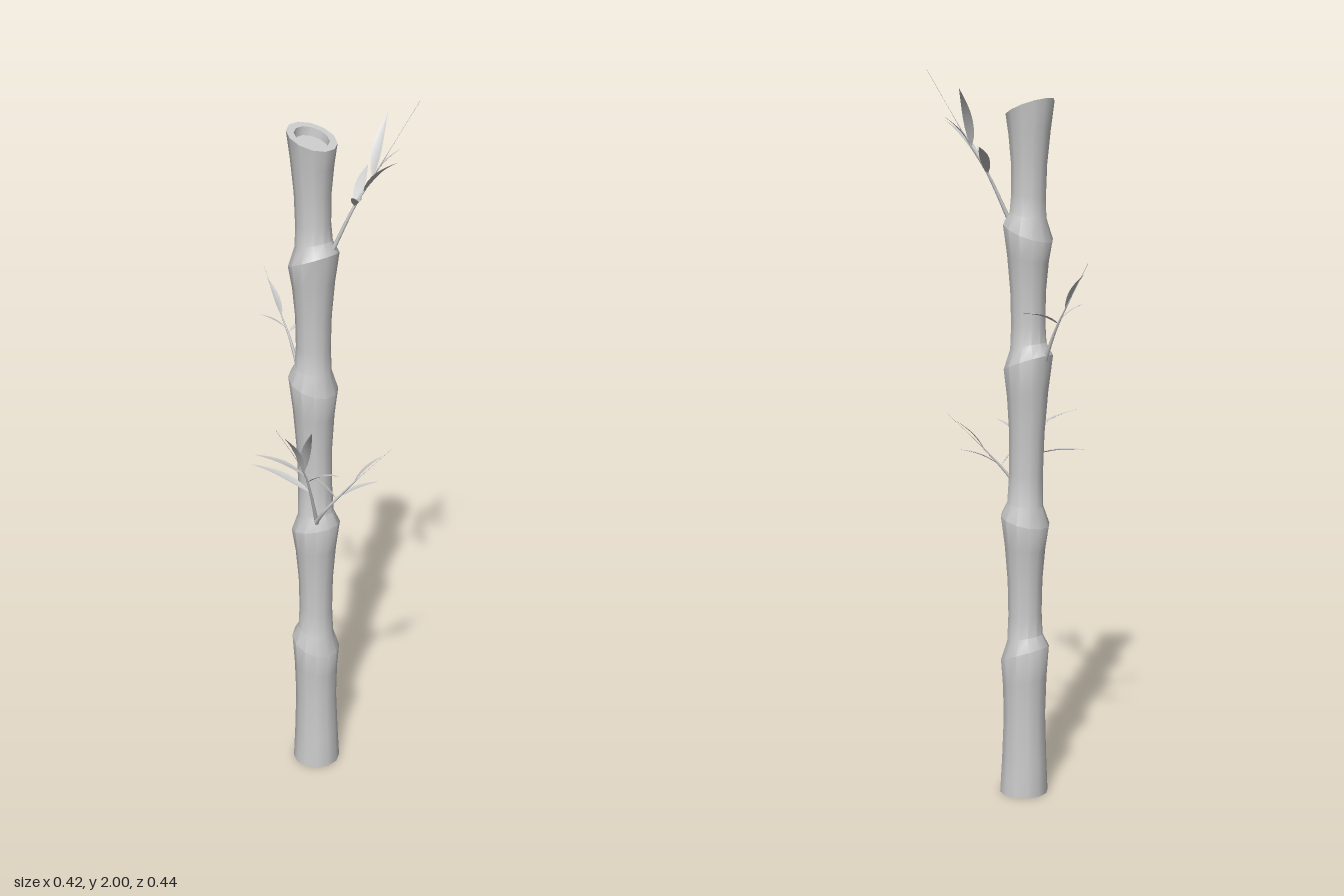
import * as THREE from 'three';
import { toCreasedNormals } from 'three/addons/utils/BufferGeometryUtils.js';

const V = (p) => new THREE.Vector3(...p);
const SIDES = 12;
const STALK_X = 0.029;

const bark = new THREE.MeshStandardMaterial({ color: 0xcccccc });
const foliage = new THREE.MeshStandardMaterial({ color: 0xcccccc, side: THREE.DoubleSide });

// Joins rows of points into a surface
function loft(rows, closed) {
  const n = rows[0].length;
  const index = [];
  for (let i = 0; i < rows.length - 1; i++) {
    for (let j = 0; j < (closed ? n : n - 1); j++) {
      const k = (j + 1) % n;
      const a = i * n + j, b = i * n + k, c = a + n, d = b + n;
      index.push(a, b, d, a, d, c);
    }
  }
  const geometry = new THREE.BufferGeometry();
  geometry.setAttribute('position', new THREE.Float32BufferAttribute(rows.flat(2), 3));
  geometry.setIndex(index);
  geometry.computeVertexNormals();
  return geometry;
}

// Tilted stalk ring: the front drops by tilt times its depth
function ring([y, z, r, tilt]) {
  return Array.from({ length: SIDES }, (_, i) => {
    const a = ((i + 0.5) / SIDES) * Math.PI * 2;
    const dz = r * Math.cos(a);
    return [STALK_X + r * Math.sin(a), y - tilt * dz, z + dz];
  });
}

function stalk() {
  // Node ridges: height, z, tilt
  const nodes = [
    [0, 0.004, 0],
    [0.405, 0, 0.36],
    [0.785, -0.001, -0.25],
    [1.222, -0.012, 0.36],
    [1.575, -0.011, -0.4],
    [1.903, -0.018, 0.36],
  ];
  const ridge = 0.068;
  const rings = [[0, 0.004, 0.0005, 0]];
  for (let i = 0; i < nodes.length - 1; i++) {
    const [y, z, t] = nodes[i];
    const [y1, z1, t1] = nodes[i + 1];
    const at = (f, radius, tilt) => [y + (y1 - y) * f, z + (z1 - z) * f, radius, tilt];
    rings.push([y, z, ridge, t]);
    if (i === 0) {
      rings.push(at(0.25, 0.063, 0), at(0.55, 0.059, 0.05), at(0.8, 0.062, 0.2));
    } else {
      // Shoulder, waist and flare towards the next node
      rings.push([y + 0.045, z, 0.05, t * 0.6]);
      rings.push(at(0.3, 0.047, t * 0.3), at(0.55, 0.049, 0), at(0.8, 0.057, t1 * 0.5));
    }
  }
  // Cut rim with a shallow hollow
  const [y, z, t] = nodes.at(-1);
  rings.push([y, z, 0.066, t], [y, z, 0.046, t], [y - 0.022, z, 0.044, t], [y - 0.022, z, 0.0005, t]);
  const mesh = new THREE.Mesh(toCreasedNormals(loft(rings.map(ring), true), 0.6), bark);
  mesh.name = 'stalk';
  return mesh;
}

// Tapered twig along a curve
function twig(curve) {
  const steps = 16, radial = 6;
  const geometry = new THREE.TubeGeometry(curve, steps, 0.006, radial);
  const pos = geometry.attributes.position;
  const p = new THREE.Vector3();
  for (let i = 0; i < pos.count; i++) {
    const f = Math.floor(i / (radial + 1)) / steps;
    p.fromBufferAttribute(pos, i).lerp(curve.getPointAt(f), Math.min(0.92, f * 1.3));
    pos.setXYZ(i, p.x, p.y, p.z);
  }
  const mesh = new THREE.Mesh(geometry, bark);
  mesh.name = 'twig';
  return mesh;
}

// Pointed leaf, folded along its midrib and slightly arched
function leaf(a, b) {
  const dir = b.clone().sub(a);
  const length = dir.length();
  const halfWidth = Math.min(0.0135, length * 0.085);
  dir.normalize();
  const side = dir.clone().cross(V([0, 1, 0])).normalize();
  const up = side.clone().cross(dir);
  const rows = Array.from({ length: 8 }, (_, i) => {
    const f = i / 7;
    const w = halfWidth * Math.max(0.03, Math.sin(Math.PI * f ** 0.75));
    const mid = a.clone().lerp(b, f).addScaledVector(up, length * 0.06 * Math.sin(Math.PI * f));
    return [-1, 0, 1].map((s) => mid.clone()
      .addScaledVector(side, s * w)
      .addScaledVector(up, Math.abs(s) * w * 0.24).toArray());
  });
  const mesh = new THREE.Mesh(loft(rows, false), foliage);
  mesh.name = 'leaf';
  return mesh;
}

// Twig through a few points; each leaf has a place along it and a tip
function branch(name, path, leaves) {
  const curve = new THREE.CatmullRomCurve3(path.map(V));
  const group = new THREE.Group();
  group.name = name;
  group.add(twig(curve));
  for (const [f, ...tip] of leaves) group.add(leaf(curve.getPoint(f), V(tip)));
  return group;
}

export function createModel() {
  const model = new THREE.Group();
  model.name = 'bambooStalk';
  model.add(
    stalk(),
    branch('upperFrontBranch',
      [[0.04, 1.6, 0.04], [0.083, 1.73, 0.083], [0.123, 1.8, 0.107], [0.205, 2, 0.19]],
      [[0.33, -0.046, 1.8, 0.213], [0.33, 0.204, 1.8, 0.02], [0.5, 0.095, 1.87, 0.216],
        [0.66, 0.207, 1.95, 0.082], [0.66, 0.17, 1.88, 0.163]]),
    branch('lowerRightBranch',
      [[-0.01, 0.82, 0.04], [-0.055, 0.94, 0.057], [-0.09, 1.02, 0.065], [-0.21, 1.19, 0.08]],
      [[0.33, -0.091, 0.975, -0.133], [0.6, -0.177, 1.07, -0.034], [0.5, -0.073, 1.04, 0.179],
        [0.66, -0.17, 1.15, 0.07], [0.66, -0.129, 1.17, 0.132]]),
    branch('lowerFrontBranch',
      [[-0.02, 0.83, 0.045], [-0.02, 0.88, 0.08], [0.03, 0.97, 0.14], [0.1, 1.07, 0.212]],
      [[0.48, -0.065, 1, 0.04], [0.5, 0.082, 0.97, 0.187], [0.66, 0.085, 1.05, 0.195]]),
    branch('backBranch',
      [[0.035, 1.23, -0.07], [0.04, 1.32, -0.11], [0.042, 1.39, -0.15], [0.053, 1.5, -0.22]],
      [[0.4, 0.163, 1.37, -0.091], [0.45, -0.017, 1.39, -0.17], [0.6, 0.05, 1.47, -0.205]]),
  );
  return model;
}
